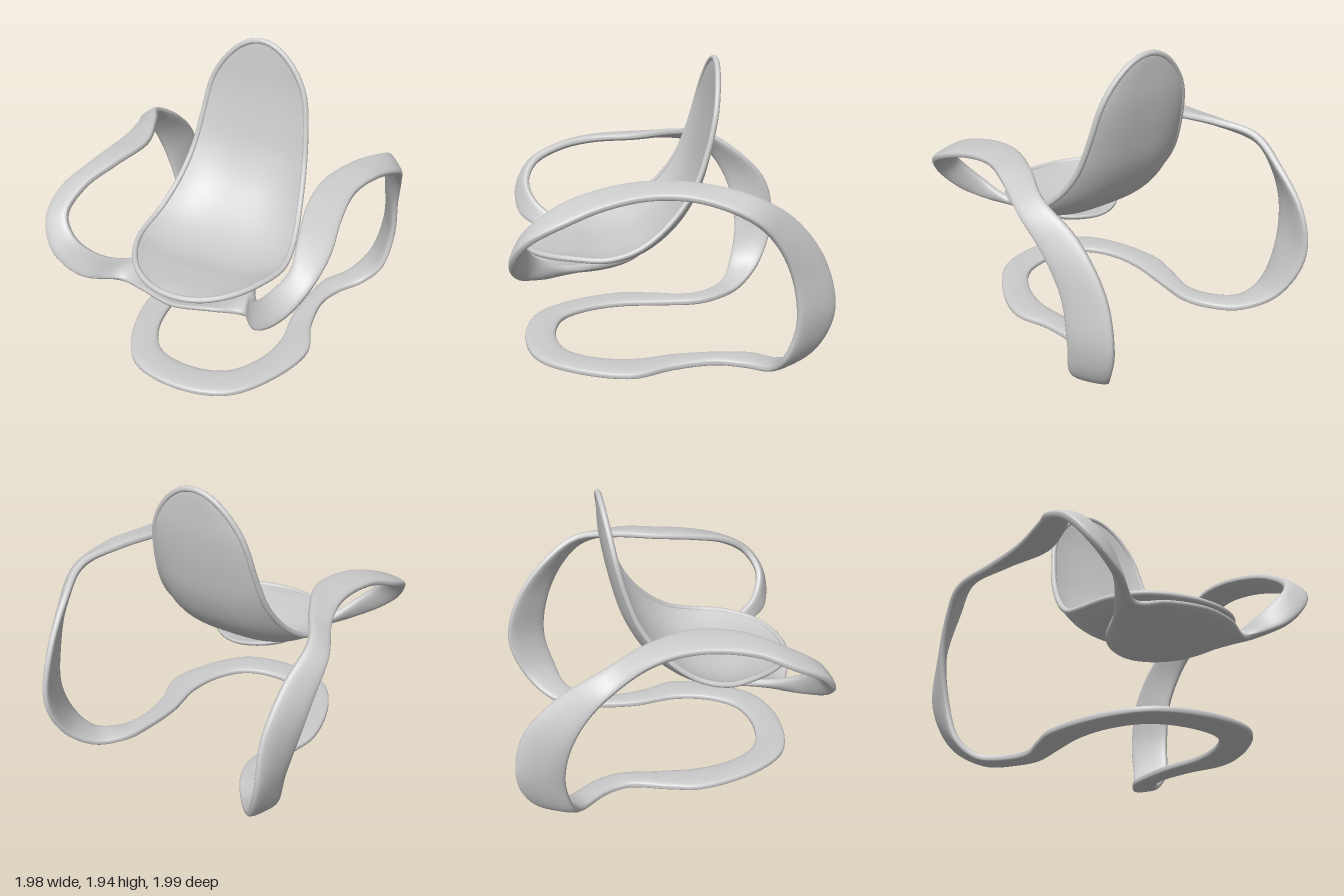
import * as THREE from 'three';

const material = new THREE.MeshStandardMaterial({ color: 0xcccccc });
const V = (x, y, z) => new THREE.Vector3(x, y, z);

// Skins a list of closed rings (each turning anticlockwise about the travel direction)
function skin(rings, closed) {
  const n = rings.length, m = rings[0].length, index = [];
  for (let i = 0; i < (closed ? n : n - 1); i++) {
    for (let j = 0; j < m; j++) {
      const a = i * m + j, d = i * m + (j + 1) % m;
      const b = ((i + 1) % n) * m + j, c = ((i + 1) % n) * m + (j + 1) % m;
      index.push(a, d, b, b, d, c);
    }
  }
  const g = new THREE.BufferGeometry().setFromPoints(rings.flat());
  g.setIndex(index);
  g.computeVertexNormals();
  return g;
}

const power = (x, e) => Math.sign(x) * Math.pow(Math.abs(x), e);

// Frame band, one side each: inner edge x, y, z then outer edge x, y, z,
// from the floor up the back, along the armrest and down to the pan under the seat
const leftSide = [
  [.24, .035, .68, .33, .035, .87], [.38, .035, .5, .53, .035, .63],
  [.44, .035, .25, .65, .035, .27], [.41, .035, -.05, .57, .035, 0],
  [.43, .04, -.33, .55, .04, -.28], [.47, .045, -.52, .62, .045, -.46],
  [.6, .06, -.71, .74, .08, -.58], [.72, .2, -.87, .85, .2, -.64],
  [.77, .47, -.97, .9, .45, -.7], [.77, .8, -.9, .91, .75, -.66],
  [.8, 1.09, -.69, .95, 1, -.54], [.85, 1.26, -.43, .98, 1.16, -.38],
  [.74, 1.31, -.15, .92, 1.27, -.1], [.65, 1.31, .15, .86, 1.28, .15],
  [.65, 1.28, .42, .87, 1.24, .42], [.7, 1.21, .68, .9, 1.15, .68],
  [.72, 1.1, .84, .86, 1.03, .89], [.63, .97, .91, .75, .87, .98],
  [.5, .81, .83, .58, .71, .95], [.41, .7, .62, .42, .66, .8], [.25, .67, .25, .24, .69, .88],
];
const rightSide = [
  [.24, .035, .68, .33, .035, .87], [.37, .035, .5, .51, .035, .63],
  [.42, .035, .25, .61, .035, .22], [.4, .035, -.05, .57, .035, 0],
  [.38, .04, -.32, .51, .04, -.25], [.43, .045, -.48, .56, .045, -.42],
  [.57, .06, -.68, .7, .07, -.58], [.74, .2, -.88, .81, .18, -.65],
  [.85, .5, -.99, .88, .45, -.7], [.85, .82, -.93, .95, .75, -.66],
  [.85, 1.06, -.71, .98, .98, -.55], [.86, 1.22, -.45, .98, 1.12, -.42],
  [.73, 1.27, -.2, .87, 1.21, -.17], [.61, 1.27, .12, .82, 1.24, .1],
  [.66, 1.25, .42, .86, 1.21, .45], [.75, 1.18, .65, .93, 1.13, .68],
  [.77, 1.07, .84, .91, 1.02, .88], [.68, .95, .9, .81, .86, .98],
  [.55, .82, .83, .63, .72, .96], [.42, .71, .62, .42, .66, .82], [.25, .67, .25, .24, .69, .88],
];

function frameBand() {
  const mirror = ([a, b, c, d, e, f]) => [-a, b, c, -d, e, f];
  const rows = [
    [0, .035, .74, 0, .035, .95], ...leftSide,
    [0, .67, .11, 0, .69, .94], ...rightSide.map(mirror).reverse(),
  ];
  const inner = new THREE.CatmullRomCurve3(rows.map(r => V(r[0], r[1], r[2])), true);
  const outer = new THREE.CatmullRomCurve3(rows.map(r => V(r[3], r[4], r[5])), true);
  const middle = t => inner.getPoint(t).add(outer.getPoint(t)).multiplyScalar(.5);
  const rings = [], steps = 320, sides = 36;
  for (let i = 0; i < steps; i++) {
    const t = i / steps, c = middle(t);
    const tangent = middle((t + .002) % 1).sub(middle((t + .998) % 1));
    const half = outer.getPoint(t).sub(c);
    const normal = tangent.cross(half).normalize();
    // The wide pan under the seat sags like a bowl
    const sag = Math.max(0, half.length() - .16) * .28;
    const ring = [];
    for (let j = 0; j < sides; j++) {
      const a = j / sides * Math.PI * 2;
      const p = c.clone().addScaledVector(half, power(Math.cos(a), .8))
        .addScaledVector(normal, .03 * power(Math.sin(a), .6));
      p.y -= sag * Math.sin(a) ** 2;
      ring.push(p);
    }
    rings.push(ring);
  }
  return skin(rings, true);
}

// Seat: rim seen from the side, then half width and dish depth along it
const rimLine = new THREE.CatmullRomCurve3([
  [.735, .91], [.755, .8], [.77, .6], [.775, .4], [.83, .2], [.98, 0],
  [1.18, -.15], [1.4, -.235], [1.6, -.285], [1.8, -.32], [1.925, -.34],
].map(([y, z]) => V(0, y, z)));
const along = values => {
  const curve = new THREE.SplineCurve(values.map(v => new THREE.Vector2(0, v)));
  return t => curve.getPoint(t).y;
};
const widthAt = along([.68, .625, .58, .5, .44, .415, .425, .465, .46]);
const depthAt = along([.06, .09, .11, .11, .1, .07, .05, .04, .02]);

// Point on the seat: v front to top, u across, offset towards the underside
function seatPoint(v, u, offset) {
  const round = Math.sqrt(Math.max(0, 1 - (2 * v - 1) ** 2));
  const p = rimLine.getPointAt(v), t = rimLine.getTangentAt(v);
  const dish = depthAt(v) * round * (1 - Math.abs(u) ** 3.2);
  const d = dish + offset * Math.pow(round, .4);
  return V(u * widthAt(v) * round, p.y + t.z * d, p.z - t.y * d);
}

const ease = k => (1 - Math.cos(Math.PI * k)) / 2;

function seatShell() {
  const rings = [], steps = 72, sides = 72;
  for (let i = 0; i <= steps; i++) {
    const ring = [];
    for (let j = 0; j < sides; j++) {
      const a = j / sides * Math.PI * 2;
      ring.push(seatPoint(ease(i / steps), Math.cos(a), .02 * power(Math.sin(a), .4)));
    }
    rings.push(ring);
  }
  return skin(rings, false);
}

// Rounded bead around the edge of the seat
function seatRim() {
  const n = 36, points = [];
  for (let i = 0; i < 2 * n; i++) {
    points.push(i < n ? seatPoint(ease(i / n), 1, 0) : seatPoint(ease(2 - i / n), -1, 0));
  }
  return new THREE.TubeGeometry(new THREE.CatmullRomCurve3(points, true), 200, .019, 12, true);
}

export function createModel() {
  const chair = new THREE.Group();
  chair.name = 'chair';
  const parts = { frameBand: frameBand(), seatShell: seatShell(), seatRim: seatRim() };
  for (const [name, geometry] of Object.entries(parts)) {
    const mesh = new THREE.Mesh(geometry, material);
    mesh.name = name;
    chair.add(mesh);
  }
  return chair;
}
